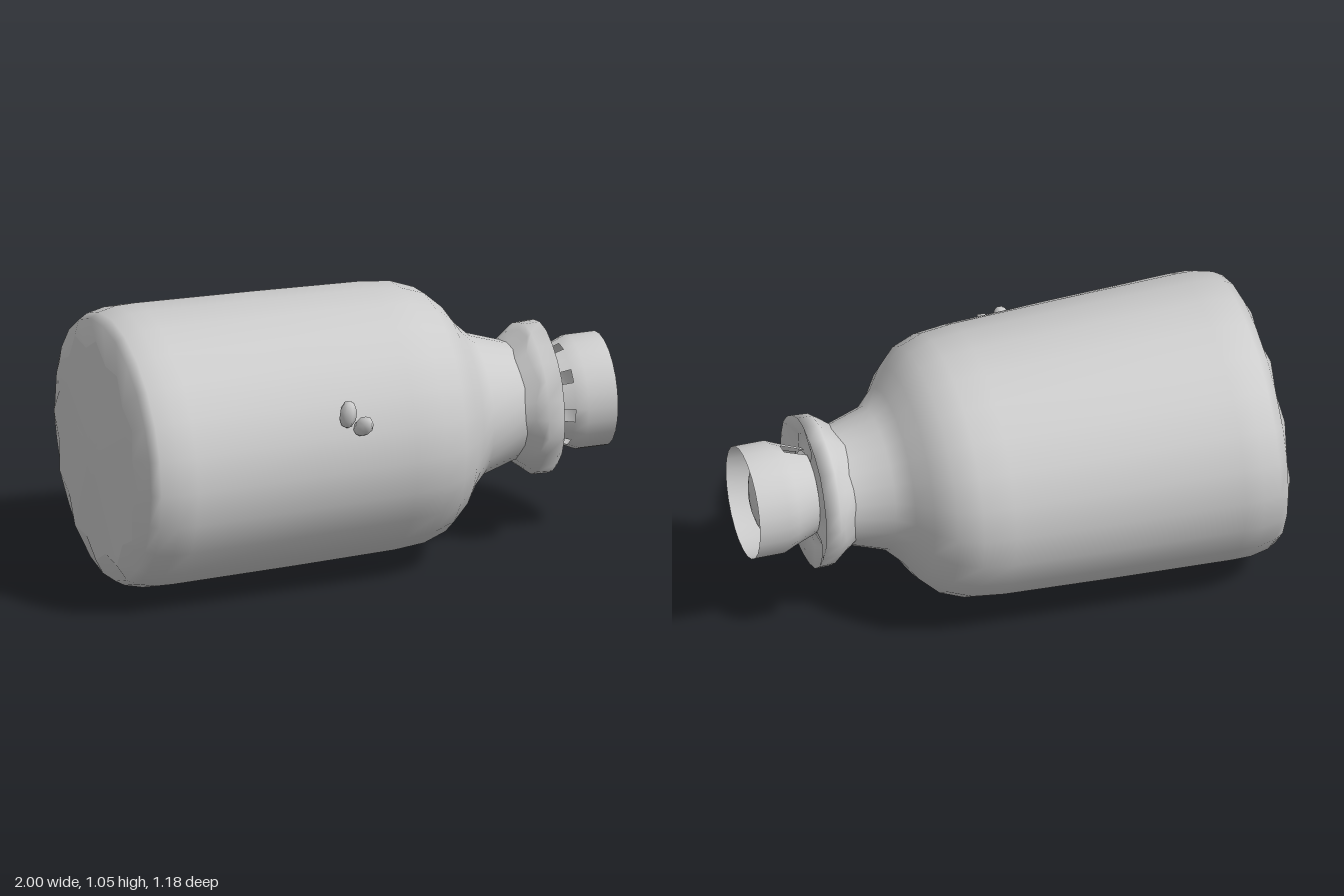
import * as THREE from 'three';

const SEG = 24;

// The bottle lies along x; its axis drifts slightly towards -z at the mouth.
const axisY = (x) => 0.529 + 0.004 * x;
const axisZ = (x) => -0.022 - 0.016 * x;

// Skin rings along x. Row: [x, radius in y, radius in z]; warp may ripple a ring.
function loft(rows, warp = () => [0, 0], skip = () => false) {
  const pos = [], index = [];
  rows.forEach(([x, ry, rz], i) => {
    for (let j = 0; j < SEG; j++) {
      const a = (j / SEG) * Math.PI * 2;
      const [dx, dr] = warp(i, j, a);
      pos.push(x + dx, axisY(x) + (ry + dr) * Math.cos(a), axisZ(x) + (rz + dr) * Math.sin(a));
    }
  });
  for (let i = 0; i < rows.length - 1; i++) {
    for (let j = 0; j < SEG; j++) {
      if (skip(i, j)) continue;
      const k = (j + 1) % SEG;
      const a = i * SEG + j, b = i * SEG + k, c = a + SEG, d = b + SEG;
      index.push(a, b, c, b, d, c);
    }
  }
  const g = new THREE.BufferGeometry();
  g.setAttribute('position', new THREE.Float32BufferAttribute(pos, 3));
  g.setIndex(index);
  g.computeVertexNormals();
  return g;
}

export function createModel() {
  const model = new THREE.Group();
  model.name = 'bottle';
  const grey = new THREE.MeshStandardMaterial({ color: 0xcccccc, side: THREE.DoubleSide });
  grey.name = 'plain grey';
  const add = (name, geometry) => {
    const mesh = new THREE.Mesh(geometry, grey);
    mesh.name = name;
    model.add(mesh);
    return mesh;
  };

  // Body, shoulder and neck
  const scallop = (i, j) => [0, i === 0 && j % 2 ? -0.05 : 0];
  add('body', loft([
    [-0.983, 0.43, 0.48], [-0.955, 0.485, 0.55], [-0.92, 0.505, 0.57], [-0.85, 0.521, 0.584],
    [-0.78, 0.523, 0.583], [-0.3, 0.513, 0.56], [0.1, 0.502, 0.537], [0.22, 0.49, 0.522],
    [0.31, 0.458, 0.485], [0.38, 0.395, 0.415], [0.43, 0.325, 0.34], [0.49, 0.268, 0.28],
    [0.62, 0.226, 0.24], [0.68, 0.22, 0.225],
  ], scallop));

  // Flat base with a scalloped edge
  add('base', loft([[-0.983, 0.43, 0.48], [-0.998, 0.1, 0.11], [-0.998, 0, 0]].reverse(),
    (i, j) => [0, i === 2 && j % 2 ? -0.05 : 0]));

  // Rippled collar folded around the neck
  const ripple = (i, j, a) => {
    const w = Math.sin(a * 7 + 0.6) + 0.4 * Math.sin(a * 4);
    return [[0.008, 0.015, 0, 0, -0.012, 0][i] * w, [0, 0.008, 0.004, 0.003, 0.006, 0][i] * w];
  };
  add('collar', loft([
    [0.63, 0.225, 0.235], [0.675, 0.262, 0.265], [0.705, 0.285, 0.287],
    [0.765, 0.288, 0.29], [0.735, 0.22, 0.22], [0.75, 0.15, 0.15],
  ], ripple));

  // Mouth, joined to the collar by tabs with gaps between them
  add('mouth', loft([
    [0.75, 0.162, 0.162], [0.84, 0.195, 0.195], [0.885, 0.214, 0.214], [1, 0.214, 0.214],
  ], undefined, (i, j) => i === 0 && j < 13 && j % 3 === 0));

  // Rounded stopper recessed in the mouth
  const dome = new THREE.SphereGeometry(0.196, 24, 8, 0, Math.PI * 2, 0, Math.PI / 2);
  dome.rotateZ(-Math.PI / 2).scale(0.62, 1, 1);
  add('stopper', dome).position.set(0.845, axisY(0.9), axisZ(0.9));

  // Two small pellets on the front
  const pellet = (name, position, size, tilt) => {
    const mesh = add(name, new THREE.SphereGeometry(1, 7, 5));
    mesh.position.set(...position);
    mesh.scale.set(...size);
    mesh.rotation.set(...tilt);
  };
  pellet('upperPellet', [-0.172, 0.747, 0.508], [0.033, 0.055, 0.038], [0.1, 0, -0.1]);
  pellet('lowerPellet', [-0.12, 0.703, 0.535], [0.032, 0.036, 0.062], [-0.5, 0.15, -0.4]);

  return model;
}
